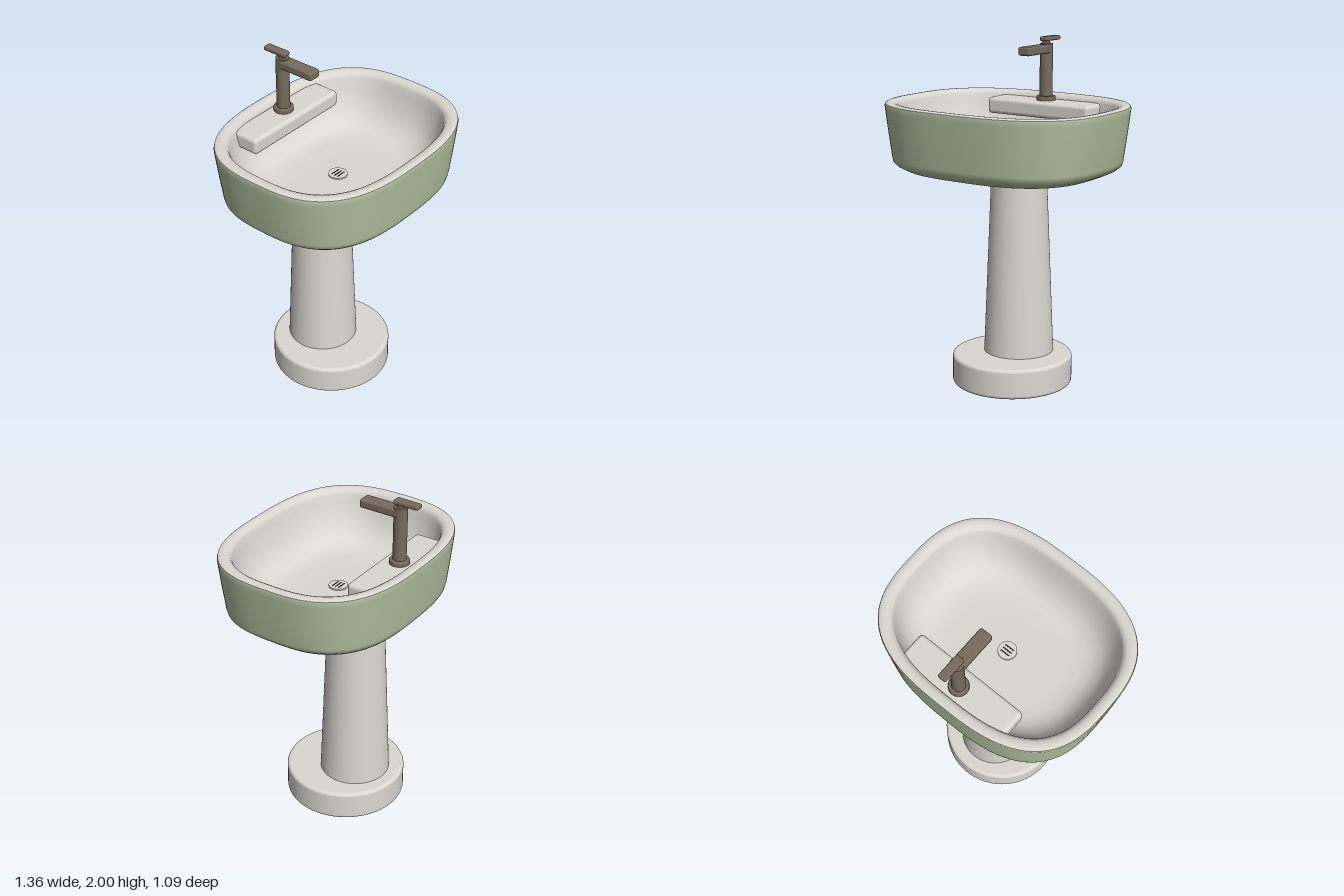
import * as THREE from 'three';
import { RoundedBoxGeometry } from 'three/addons/geometries/RoundedBoxGeometry.js';

const mat = (name, color) => {
  const m = new THREE.MeshStandardMaterial({ color });
  m.name = name;
  return m;
};

// Skin of rounded-rectangle rings; each ring is [halfWidth, halfDepth, y], ordered from outside to inside.
function loft(rings, power = 2.8, segments = 112) {
  const pos = [], index = [];
  for (const [a, b, y] of rings) {
    for (let j = 0; j < segments; j++) {
      const t = (j / segments) * Math.PI * 2, c = Math.cos(t), s = Math.sin(t);
      const r = (Math.abs(c / a) ** power + Math.abs(s / b) ** power) ** (-1 / power);
      pos.push(r * c, y, r * s);
    }
  }
  for (let i = 0; i < rings.length - 1; i++) {
    for (let j = 0; j < segments; j++) {
      const k = (j + 1) % segments;
      const p = i * segments + j, q = i * segments + k;
      index.push(p, p + segments, q, q, p + segments, q + segments);
    }
  }
  const g = new THREE.BufferGeometry();
  g.setAttribute('position', new THREE.Float32BufferAttribute(pos, 3));
  g.setIndex(index);
  g.computeVertexNormals();
  return g;
}

// Solid of revolution with softened top and bottom edges.
function roundedDisc(radius, y0, y1, bevel) {
  const pts = [new THREE.Vector2(0, y0), new THREE.Vector2(radius - bevel - 0.002, y0)];
  for (const [cy, start] of [[y0 + bevel, -Math.PI / 2], [y1 - bevel, 0]]) {
    for (let i = 0; i <= 5; i++) {
      const t = start + (i / 5) * Math.PI / 2;
      pts.push(new THREE.Vector2(radius - bevel + bevel * Math.cos(t), cy + bevel * Math.sin(t)));
    }
  }
  pts.push(new THREE.Vector2(radius - bevel - 0.002, y1), new THREE.Vector2(0, y1));
  return new THREE.LatheGeometry(pts, 64);
}

export function createModel() {
  const model = new THREE.Group();
  model.name = 'pedestalSink';
  const ceramic = mat('ceramic', 0xdbd8d1);
  const green = mat('sageGreen', 0xb2c19f);
  const bronze = mat('bronze', 0x786b5d);
  const dark = mat('drainDark', 0x2b2926);

  const add = (parent, name, geometry, material, x = 0, y = 0, z = 0) => {
    const m = new THREE.Mesh(geometry, material);
    m.name = name;
    m.position.set(x, y, z);
    parent.add(m);
    return m;
  };

  // Foot and tapered column
  add(model, 'foot', roundedDisc(0.35, 0, 0.175, 0.02), ceramic, 0, 0, -0.053);
  add(model, 'column', new THREE.CylinderGeometry(0.158, 0.205, 1.14, 64), ceramic, 0, 0.73, -0.12);

  // Coloured outer shell of the basin
  add(model, 'basinShell', loft([
    [0.002, 0.002, 1.275], [0.3, 0.24, 1.275], [0.53, 0.43, 1.275], [0.56, 0.455, 1.277],
    [0.61, 0.495, 1.3], [0.634, 0.513, 1.32], [0.641, 0.518, 1.345], [0.66, 0.531, 1.48],
    [0.677, 0.543, 1.615], [0.68, 0.545, 1.64], [0.676, 0.542, 1.653],
  ]), green);

  // Rim and bowl
  add(model, 'rimAndBowl', loft([
    [0.676, 0.542, 1.653], [0.667, 0.534, 1.659], [0.65, 0.518, 1.661], [0.63, 0.498, 1.658],
    [0.613, 0.482, 1.649], [0.604, 0.473, 1.63], [0.595, 0.465, 1.59], [0.575, 0.447, 1.52],
    [0.545, 0.42, 1.455], [0.505, 0.385, 1.407], [0.455, 0.343, 1.377], [0.4, 0.3, 1.363],
    [0.33, 0.245, 1.36], [0.15, 0.11, 1.36], [0.002, 0.002, 1.36],
  ]), ceramic);

  // Ledge that carries the tap
  add(model, 'tapLedge', new RoundedBoxGeometry(0.7, 0.095, 0.185, 4, 0.022), ceramic, 0, 1.582, -0.382);

  // Drain with slots
  const drain = new THREE.Group();
  drain.name = 'drain';
  drain.position.y = 1.36;
  model.add(drain);
  add(drain, 'drainPlate', new THREE.CylinderGeometry(0.054, 0.054, 0.012, 40), ceramic, 0, 0.002, 0);
  for (const z of [-0.02, 0, 0.02]) {
    add(drain, 'drainSlot', new THREE.BoxGeometry(0.06, 0.004, 0.007), dark, 0, 0.0075, z);
  }

  // Tap
  const tap = new THREE.Group();
  tap.name = 'tap';
  tap.position.z = -0.395;
  model.add(tap);
  add(tap, 'tapFlange', roundedDisc(0.056, 1.62, 1.655, 0.006), bronze);
  add(tap, 'tapBody', new THREE.CylinderGeometry(0.038, 0.038, 0.32, 40), bronze, 0, 1.8, 0);
  add(tap, 'spout', new RoundedBoxGeometry(0.078, 0.05, 0.235, 3, 0.012), bronze, 0, 1.93, 0.1175);
  add(tap, 'leverNeck', new THREE.CylinderGeometry(0.022, 0.022, 0.03, 24), bronze, 0, 1.967, 0);
  add(tap, 'lever', new RoundedBoxGeometry(0.052, 0.026, 0.15, 3, 0.009), bronze, 0, 1.987, -0.04);

  return model;
}
